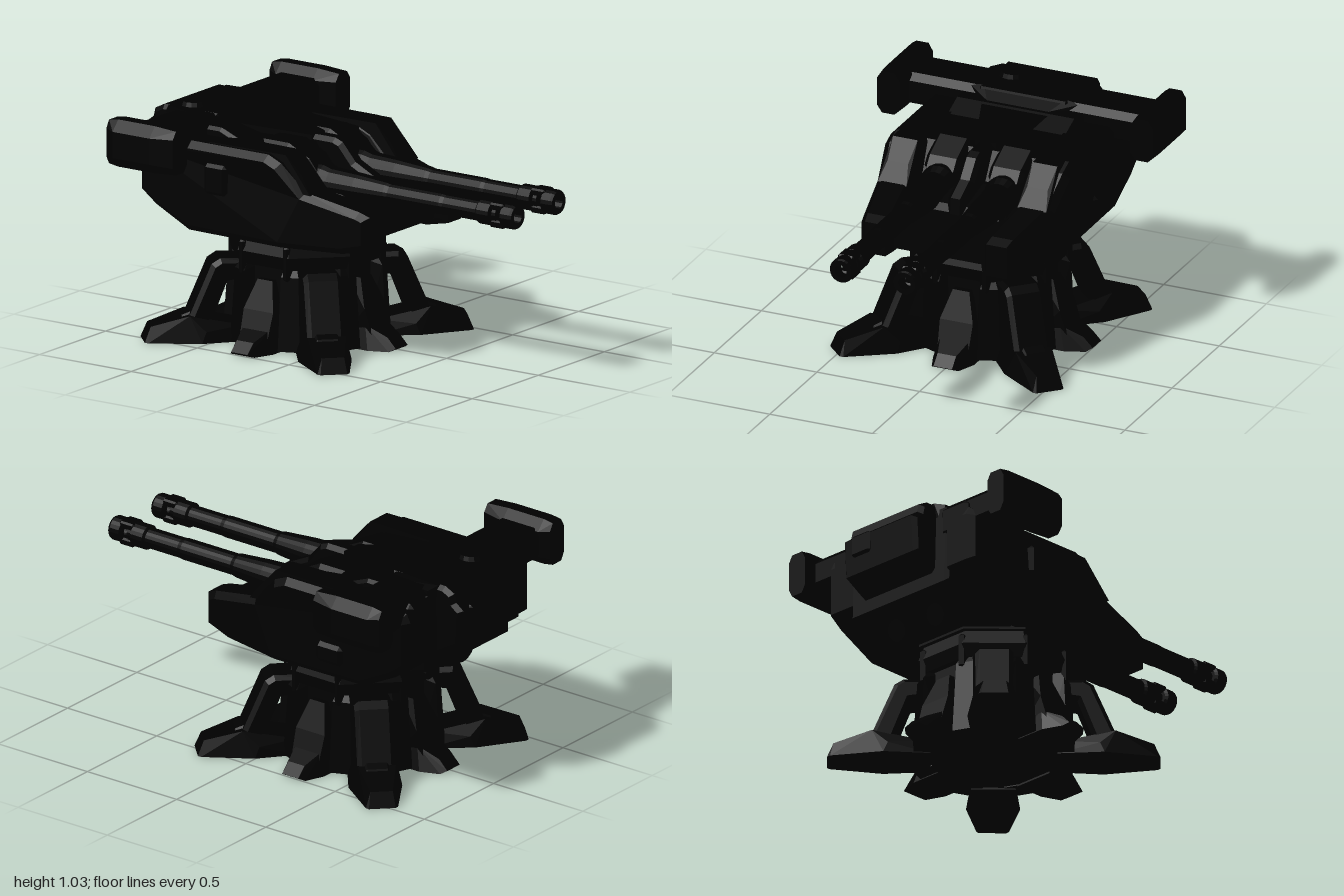
import * as THREE from 'three';
import { ConvexGeometry } from 'three/addons/geometries/ConvexGeometry.js';

const dark = new THREE.MeshStandardMaterial({ color: 0x000000, flatShading: true });
const darkOpen = new THREE.MeshStandardMaterial({ color: 0x000000, flatShading: true, side: THREE.DoubleSide });

function add(parent, name, geometry, x = 0, y = 0, z = 0, material = dark) {
  const mesh = new THREE.Mesh(geometry, material);
  mesh.name = name;
  mesh.position.set(x, y, z);
  parent.add(mesh);
  return mesh;
}

// Slab with a (z, y) outline, centred on x, with chamfered edges
function slab(points, width, bevel = 0.02) {
  const shape = new THREE.Shape(points.map(([z, y]) => new THREE.Vector2(z, y)));
  const depth = width - 2 * bevel;
  return new THREE.ExtrudeGeometry(shape, {
    depth, bevelEnabled: bevel > 0, bevelSize: bevel, bevelThickness: bevel, bevelOffset: -bevel, bevelSegments: 1,
  }).translate(0, 0, -depth / 2).rotateY(-Math.PI / 2);
}

// Convex solid from [halfWidth, y, z] points mirrored in x
function hullOf(points) {
  return new ConvexGeometry(points.flatMap(([x, y, z]) => [new THREE.Vector3(x, y, z), new THREE.Vector3(-x, y, z)]));
}

// Chamfered block
function block(w, h, d, c) {
  const pts = [];
  for (const sy of [-1, 1]) for (const sz of [-1, 1]) {
    pts.push([w / 2 - c, sy * h / 2, sz * (d / 2 - c)], [w / 2, sy * (h / 2 - c), sz * (d / 2 - c)],
      [w / 2 - c, sy * (h / 2 - c), sz * d / 2]);
  }
  return hullOf(pts);
}

// Upright eight-sided solid with flats on the axes
const octagon = (top, bottom, height) =>
  new THREE.CylinderGeometry(top, bottom, height, 8).rotateY(Math.PI / 8);

function createBase() {
  const base = new THREE.Group();
  base.name = 'base';
  base.position.z = -0.26;
  add(base, 'core', octagon(0.31, 0.33, 0.37), 0, 0.195);
  add(base, 'collarBand', octagon(0.362, 0.345, 0.06), 0, 0.4);
  add(base, 'collarTop', octagon(0.335, 0.362, 0.07), 0, 0.465);
  add(base, 'bearing', octagon(0.36, 0.36, 0.015), 0, 0.507);

  const footGeo = hullOf([[0.06, 0, 0.738], [0.05, 0.07, 0.71], [0.072, 0, 0.725], [0.085, 0.12, 0.54], [0.12, 0, 0.49],
    [0.11, 0.05, 0.47], [0.1, 0, 0.28], [0.08, 0.07, 0.3]]);
  const strutGeo = slab([[0.22, 0.37], [0.4, 0.375], [0.44, 0.35], [0.55, 0.09], [0.45, 0.06], [0.37, 0.27], [0.24, 0.29]], 0.17);
  const toeGeo = hullOf([[0.045, 0.015, 0.515], [0.065, 0, 0.49], [0.045, 0.06, 0.47], [0.1, 0, 0.4], [0.075, 0.11, 0.37],
    [0.1, 0, 0.25], [0.07, 0.12, 0.28]]);
  const archGeo = hullOf([[0.075, 0.05, 0.41], [0.08, 0.18, 0.37], [0.04, 0.31, 0.32], [0.08, 0.05, 0.25], [0.04, 0.31, 0.25]]);
  const ribGeo = hullOf([[0.05, 0.005, 0.37], [0.04, 0.34, 0.35], [0.03, 0.37, 0.33], [0.06, 0.005, 0.27], [0.04, 0.37, 0.25]]);

  for (let i = 0; i < 4; i++) {
    // Main leg on the diagonal
    const leg = new THREE.Group();
    leg.name = 'leg';
    leg.rotation.y = Math.PI / 4 + i * Math.PI / 2;
    add(leg, 'foot', footGeo);
    add(leg, 'strut', strutGeo);
    add(leg, 'anklePad', block(0.12, 0.05, 0.12, 0.015), 0, 0.11, 0.52).rotation.x = 0.35;
    base.add(leg);

    // Short toe, ribs and clamps on the axis
    const side = new THREE.Group();
    side.name = 'toeGroup';
    side.rotation.y = i * Math.PI / 2;
    add(side, 'toe', toeGeo);
    add(side, 'arch', archGeo);
    for (const s of [-1, 1]) {
      add(side, 'rib', ribGeo).rotation.y = s * 0.4;
      add(side, 'collarClamp', block(0.035, 0.16, 0.05, 0.01), s * 0.12, 0.4, 0.312);
    }
    base.add(side);
  }
  return base;
}

function createGun(x) {
  const gun = new THREE.Group();
  gun.name = 'gun';
  gun.position.set(x, 0.757, 0);
  // Hollow lathed pieces, profile [radius, z]
  const turn = (name, profile) => add(gun, name,
    new THREE.LatheGeometry(profile.map(([r, z]) => new THREE.Vector2(r, z)), 20).rotateX(Math.PI / 2), 0, 0, 0, darkOpen);
  turn('mantlet', [[0, -0.22], [0.07, -0.2], [0.088, -0.15], [0.088, -0.04], [0.074, 0], [0.068, 0.14], [0.055, 0.3], [0.05, 0.32]]);
  turn('barrel', [[0.05, 0.2], [0.05, 0.6], [0.047, 0.62], [0.047, 0.8], [0.057, 0.81], [0.057, 0.875], [0.042, 0.885],
    [0.042, 0.905], [0, 0.905]]);
  turn('muzzle', [[0.03, 0.93], [0.045, 0.93], [0.057, 0.94], [0.057, 0.99], [0.052, 1], [0.03, 1], [0.03, 0.93]]);
  for (const s of [-1, 1]) add(gun, 'muzzleBridge', block(0.08, 0.034, 0.08, 0.008), 0, s * 0.039, 0.91);
  return gun;
}

function createTurret() {
  const turret = new THREE.Group();
  turret.name = 'turret';

  // Armoured cheeks, narrowing towards the front
  const cheekProfile = [[0.33, 0.54], [0.33, 0.69], [0.28, 0.71], [0.02, 0.77], [-0.1, 0.89], [-0.17, 0.92], [-0.84, 0.92],
    [-0.86, 0.88], [-0.86, 0.66], [-0.78, 0.6], [-0.6, 0.51], [-0.1, 0.505], [0.2, 0.51]];
  for (const s of [-1, 1]) {
    const geo = slab(cheekProfile, 0.18, 0.03).translate(s * 0.36, 0, 0);
    const p = geo.attributes.position;
    for (let i = 0; i < p.count; i++) {
      const z = p.getZ(i);
      if (z > -0.1) p.setX(i, p.getX(i) * (1 - 0.42 * (z + 0.1)));
    }
    add(turret, 'cheek', geo);
    add(turret, 'cheekPlate', block(0.1, 0.14, 0.06, 0.025), s * 0.31, 0.62, 0.295);
    add(turret, 'shoulderPlate', hullOf([[0.07, 0.76, 0.05], [0.05, 0.84, -0.01], [0.06, 0.925, -0.09], [0.07, 0.925, -0.5],
      [0.08, 0.8, -0.5]]), s * 0.34, 0, 0);
  }

  // Body between the cheeks
  add(turret, 'body', slab([[0.27, 0.56], [0.27, 0.68], [0.1, 0.71], [-0.08, 0.74], [-0.18, 0.9], [-0.42, 0.92], [-0.52, 0.96],
    [-0.85, 0.96], [-0.86, 0.6], [-0.77, 0.57], [-0.6, 0.51], [0.18, 0.515]], 0.6, 0.015));
  add(turret, 'gunCradle', slab([[0.14, 0.66], [0.1, 0.74], [-0.08, 0.78], [-0.25, 0.78], [-0.25, 0.6]], 0.46, 0.02));
  add(turret, 'centreRib', slab([[0.13, 0.67], [0.12, 0.78], [0.02, 0.83], [-0.05, 0.91], [-0.09, 0.925], [-0.4, 0.925],
    [-0.4, 0.6]], 0.085, 0.02));
  add(turret, 'roofPlate', hullOf([[0.05, 0.925, -0.2], [0.13, 0.935, -0.46], [0.05, 0.85, -0.2], [0.13, 0.85, -0.46],
    [0.18, 0.96, -0.56], [0.18, 0.85, -0.56]]));
  for (const s of [-1, 1]) {
    turret.add(createGun(s * 0.155));
    add(turret, 'gunHood', slab([[-0.05, 0.82], [-0.09, 0.87], [-0.2, 0.925], [-0.34, 0.925], [-0.34, 0.74], [-0.12, 0.74]], 0.17, 0.02),
      s * 0.155, 0, 0);
  }

  // Cross beam carrying the end pods
  add(turret, 'crossBeam', slab([[-0.59, 0.87], [-0.59, 0.96], [-0.62, 0.99], [-0.8, 0.99], [-0.83, 0.96], [-0.83, 0.87],
    [-0.8, 0.84], [-0.62, 0.84]], 1.14, 0));
  add(turret, 'beamCentre', hullOf([[0.15, 0.96, -0.54], [0.15, 0.85, -0.53], [0.27, 0.985, -0.62], [0.27, 0.84, -0.6],
    [0.2, 0.995, -0.62], [0.22, 0.995, -0.86], [0.27, 0.98, -0.84], [0.27, 0.84, -0.84]]));
  const podGeo = hullOf([-1, 1].flatMap((s) => [
    [0.03, s * 0.1, -0.18], [0.05, s * 0.065, -0.18], [0.03, s * 0.108, -0.13], [0.073, s * 0.06, -0.13],
    [0.03, s * 0.108, 0.07], [0.073, s * 0.06, 0.07], [0.03, s * 0.1, 0.185], [0.055, s * 0.065, 0.185]]));
  for (const s of [-1, 1]) {
    add(turret, 'endPod', podGeo, s * 0.617, 0.92, -0.695);
    add(turret, 'beamBracket', block(0.16, 0.14, 0.1, 0.02), s * 0.335, 0.89, -0.81);
  }

  // Rear counterweight, hatch and details
  add(turret, 'rearBlock', slab([[-0.55, 0.85], [-0.6, 0.995], [-0.89, 0.995], [-0.94, 0.97], [-0.95, 0.93], [-0.99, 0.9],
    [-0.98, 0.73], [-0.86, 0.66], [-0.6, 0.66]], 0.45, 0.02));
  add(turret, 'rearBox', block(0.11, 0.1, 0.04, 0.01), 0.105, 0.86, -0.98);
  add(turret, 'hatch', new THREE.CylinderGeometry(0.06, 0.07, 0.03, 16), -0.13, 1, -0.78);
  add(turret, 'sideKnob', block(0.06, 0.11, 0.16, 0.025), 0.437, 0.63, -0.43);
  add(turret, 'sideBox', block(0.06, 0.14, 0.12, 0.015), -0.437, 0.77, -0.435);
  for (const s of [-1, 1]) {
    const exhaust = add(turret, 'exhaust', new THREE.CylinderGeometry(0.05, 0.05, 0.14, 16), s * 0.12, 0.545, -0.685);
    exhaust.rotation.x = 1.24;
  }
  return turret;
}

export function createModel() {
  const model = new THREE.Group();
  model.name = 'twinGunTurret';
  model.add(createBase(), createTurret());
  return model;
}
